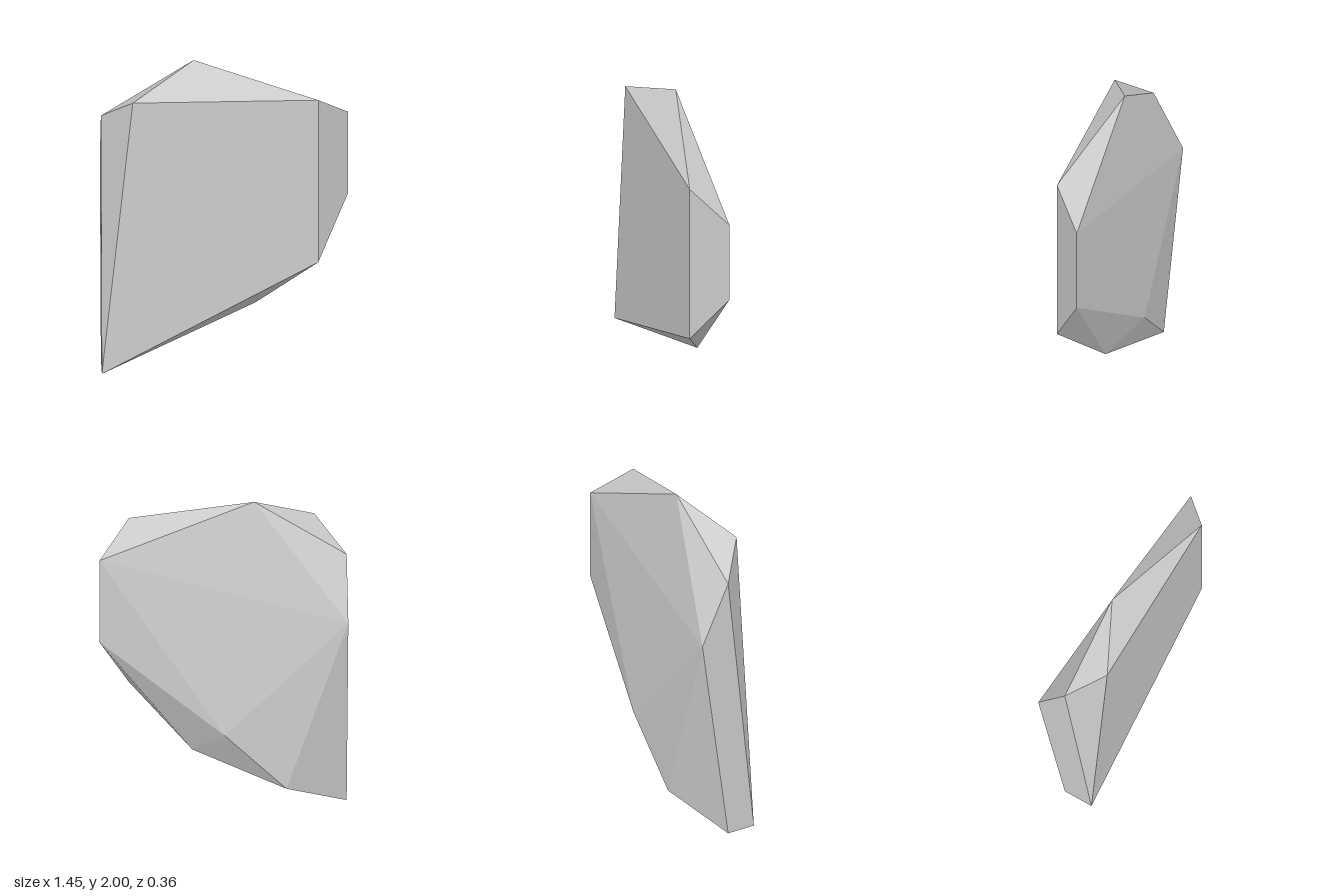
import * as THREE from 'three';
import { ConvexGeometry } from 'three/addons/geometries/ConvexGeometry.js';

// All corners lie on a regular lattice, 11 steps tall.
const STEP = 2 / 11;

// Corner outlines [x, y] in lattice steps, one per depth layer.
const layers = [
  { z: 1, corners: [[-4, 0], [-3, 10], [3, 10], [3, 4]] }, // front face
  { z: 0, corners: [[-4, 0], [-4, 9], [-1, 11], [4, 9], [4, 6], [1, 2]] }, // widest outline
  { z: -1, corners: [[-4, 7], [0, 3], [-2, 1]] }, // back face
];

export function createModel() {
  const group = new THREE.Group();
  group.name = 'rockShard';

  const points = layers.flatMap(({ z, corners }) =>
    corners.map(([x, y]) => new THREE.Vector3(x, y, z)));

  // Faceted convex stone wrapped around the layers
  const geometry = new ConvexGeometry(points);
  geometry.scale(STEP, STEP, STEP);
  const material = new THREE.MeshStandardMaterial({ color: 0xcccccc, flatShading: true });
  const stone = new THREE.Mesh(geometry, material);
  stone.name = 'stone';
  group.add(stone);

  return group;
}
